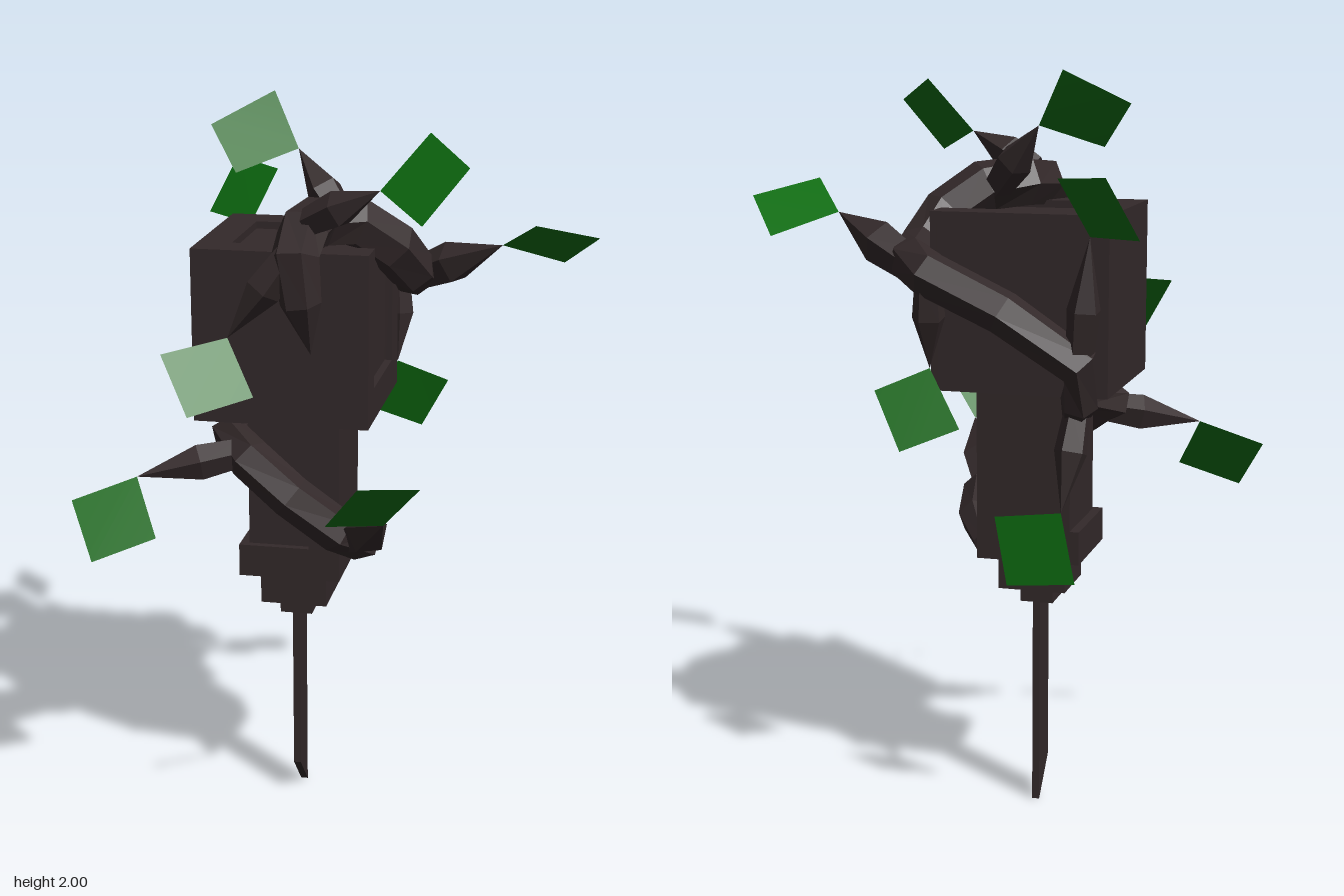
import * as THREE from 'three';

const wood = new THREE.MeshStandardMaterial({ color: 0x33292a, flatShading: true });
wood.name = 'dark wood';
const green = new THREE.MeshStandardMaterial({ color: 0x0e6e11, side: THREE.DoubleSide });
green.name = 'leaf green';

const v = (p) => new THREE.Vector3(...p);

// box from its min and max corners
function block(name, a, b) {
  const m = new THREE.Mesh(new THREE.BoxGeometry(b[0] - a[0], b[1] - a[1], b[2] - a[2]), wood);
  m.position.set((a[0] + b[0]) / 2, (a[1] + b[1]) / 2, (a[2] + b[2]) / 2);
  m.name = name;
  return m;
}

// faceted tapering limb: one six-sided ring at each point of a path
function limb(name, pts, radii, sides = 6) {
  const P = pts.map(v), n = P.length, pos = [], idx = [];
  let u = null;
  for (let i = 0; i < n; i++) {
    const t = P[Math.min(i + 1, n - 1)].clone().sub(P[Math.max(i - 1, 0)]).normalize();
    if (!u) u = Math.abs(t.y) > 0.8 ? new THREE.Vector3(1, 0, 0) : new THREE.Vector3(0, 1, 0);
    u = u.clone().addScaledVector(t, -u.dot(t)).normalize();
    const w = t.clone().cross(u);
    for (let k = 0; k < sides; k++) {
      const a = (k / sides) * Math.PI * 2;
      const q = P[i].clone().addScaledVector(u, Math.cos(a) * radii[i]).addScaledVector(w, Math.sin(a) * radii[i]);
      pos.push(q.x, q.y, q.z);
    }
  }
  for (let i = 0; i < n - 1; i++) {
    for (let k = 0; k < sides; k++) {
      const a = i * sides + k, b = i * sides + (k + 1) % sides;
      idx.push(a, b, a + sides, b, b + sides, a + sides);
    }
  }
  const last = (n - 1) * sides;
  for (let k = 1; k < sides - 1; k++) idx.push(0, k + 1, k, last, last + k, last + k + 1);
  const g = new THREE.BufferGeometry();
  g.setAttribute('position', new THREE.Float32BufferAttribute(pos, 3));
  g.setIndex(idx);
  g.computeVertexNormals();
  const m = new THREE.Mesh(g, wood);
  m.name = name;
  return m;
}

// flat square leaf from four corners, the first one touching its twig
function leaf(c) {
  const g = new THREE.BufferGeometry();
  g.setAttribute('position', new THREE.Float32BufferAttribute(c.flat(), 3));
  g.setIndex([0, 1, 2, 0, 2, 3]);
  g.computeVertexNormals();
  const m = new THREE.Mesh(g, green);
  m.name = 'leaf';
  return m;
}

export function createModel() {
  const root = new THREE.Group();
  root.name = 'woodenSpikeWithVines';

  // head: core with raised rims leaving a groove over the top and the left side
  const head = new THREE.Group();
  head.name = 'head';
  head.add(
    block('headCore', [-0.36, 1.18, -0.285], [0.09, 1.625, 0.18]),
    block('sideSill', [0.09, 1.18, -0.19], [0.11, 1.27, 0.09]),
    block('topRim', [-0.36, 1.625, -0.19], [-0.27, 1.645, 0.09])
  );
  for (const [a, b] of [[0.09, 0.18], [-0.285, -0.19]]) {
    head.add(block('sidePost', [0.09, 1.18, a], [0.11, 1.645, b]));
    head.add(block('topRim', [-0.36, 1.625, a], [0.09, 1.645, b]));
  }
  root.add(head);

  // neck with foot band and a shallow front step
  const neck = new THREE.Group();
  neck.name = 'neck';
  neck.add(
    block('neckCore', [-0.24, 0.8, -0.19], [0.015, 1.18, 0.07]),
    block('neckPost', [-0.07, 0.8, 0.07], [0.015, 1.18, 0.09]),
    block('neckFoot', [-0.265, 0.71, -0.19], [0.015, 0.8, 0.09]),
    block('upperCollar', [-0.215, 0.615, -0.14], [-0.03, 0.71, 0.045]),
    block('lowerCollar', [-0.17, 0.57, -0.095], [-0.08, 0.615, 0]
    )
  );
  root.add(neck);

  // thin blade with slanted tip
  const s = new THREE.Shape([[0, 0.1], [0.095, 0], [0.095, 0.58], [0, 0.58]].map((p) => new THREE.Vector2(...p)));
  const blade = new THREE.Mesh(new THREE.ExtrudeGeometry(s, { depth: 0.02, bevelEnabled: false }), wood);
  blade.rotation.y = Math.PI / 2;
  blade.position.x = -0.135;
  blade.name = 'blade';
  root.add(blade);

  // vine over the head and down across the back
  root.add(limb('headVine', [
    [-0.04, 1.38, 0.19], [-0.06, 1.52, 0.215], [-0.075, 1.64, 0.215], [-0.07, 1.69, 0.14], [-0.05, 1.7, 0.04],
    [0.04, 1.69, -0.02], [0.13, 1.62, -0.07], [0.17, 1.54, -0.15], [0.165, 1.51, -0.25], [0.1, 1.49, -0.335],
    [-0.1, 1.4, -0.342], [-0.3, 1.27, -0.34], [-0.29, 1.17, -0.3], [-0.25, 1.1, -0.2]],
  [0, 0.055, 0.065, 0.07, 0.07, 0.07, 0.07, 0.065, 0.065, 0.06, 0.058, 0.055, 0.05, 0.03]));

  // vine around the neck
  root.add(limb('neckVine', [
    [-0.23, 1.13, -0.03], [-0.29, 1.11, 0.06], [-0.22, 1.07, 0.14], [-0.1, 0.98, 0.17], [0.02, 0.88, 0.14],
    [0.07, 0.83, 0.06], [0.05, 0.79, -0.06], [0, 0.75, -0.17]],
  [0.03, 0.055, 0.06, 0.06, 0.06, 0.06, 0.055, 0.03]));

  // leaves, each with the twig that carries it: [twig base, twig girth, corners]
  const twigs = [
    [[0, 1.69, -0.04], 0.05, [[-0.14, 1.857, -0.145], [-0.22, 2, -0.215], [-0.38, 1.915, -0.14], [-0.295, 1.8, -0.065]]],
    [[-0.05, 1.72, 0.16], 0.05, [[0.145, 1.82, 0.22], [0.265, 1.963, 0.185], [0.38, 1.9, 0.31], [0.27, 1.76, 0.345]]],
    [[0.17, 1.5, -0.25], 0.06, [[0.417, 1.62, -0.127], [0.515, 1.7, -0.007], [0.675, 1.655, -0.098], [0.576, 1.56, -0.218]]],
    [[-0.3, 1.28, -0.34], 0.045, [[-0.33, 1.6, -0.367], [-0.265, 1.747, -0.44], [-0.41, 1.76, -0.553], [-0.48, 1.607, -0.486]]],
    [[-0.09, 1.65, 0.22], 0.05, [[-0.25, 1.427, 0.235], [-0.168, 1.29, 0.3], [-0.312, 1.263, 0.42], [-0.398, 1.405, 0.348]]],
    [[-0.24, 1.08, 0.12], 0.05, [[-0.507, 1.03, 0.232], [-0.435, 0.89, 0.316], [-0.6, 0.828, 0.363], [-0.678, 0.966, 0.275]]],
    [[0.06, 0.84, 0.08], 0.06, [[0.18, 0.98, 0.345], [0.285, 1.108, 0.41], [0.15, 1.146, 0.55], [0.053, 1.015, 0.472]]],
    [[-0.28, 1.15, -0.27], 0.045, [[-0.255, 0.89, -0.345], [-0.29, 0.7, -0.335], [-0.11, 0.685, -0.34], [-0.08, 0.87, -0.35]]],
    [[0.1, 1.47, -0.335], 0.045, [[0.11, 1.24, -0.295], [0.25, 1.18, -0.33], [0.17, 1.03, -0.37], [0.02, 1.09, -0.33]]]
  ];
  for (const [base, r, corners] of twigs) {
    const mid = v(base).lerp(v(corners[0]), 0.42).toArray();
    root.add(limb('twig', [base, mid, corners[0]], [r * 0.8, r, 0], 5), leaf(corners));
  }
  return root;
}
